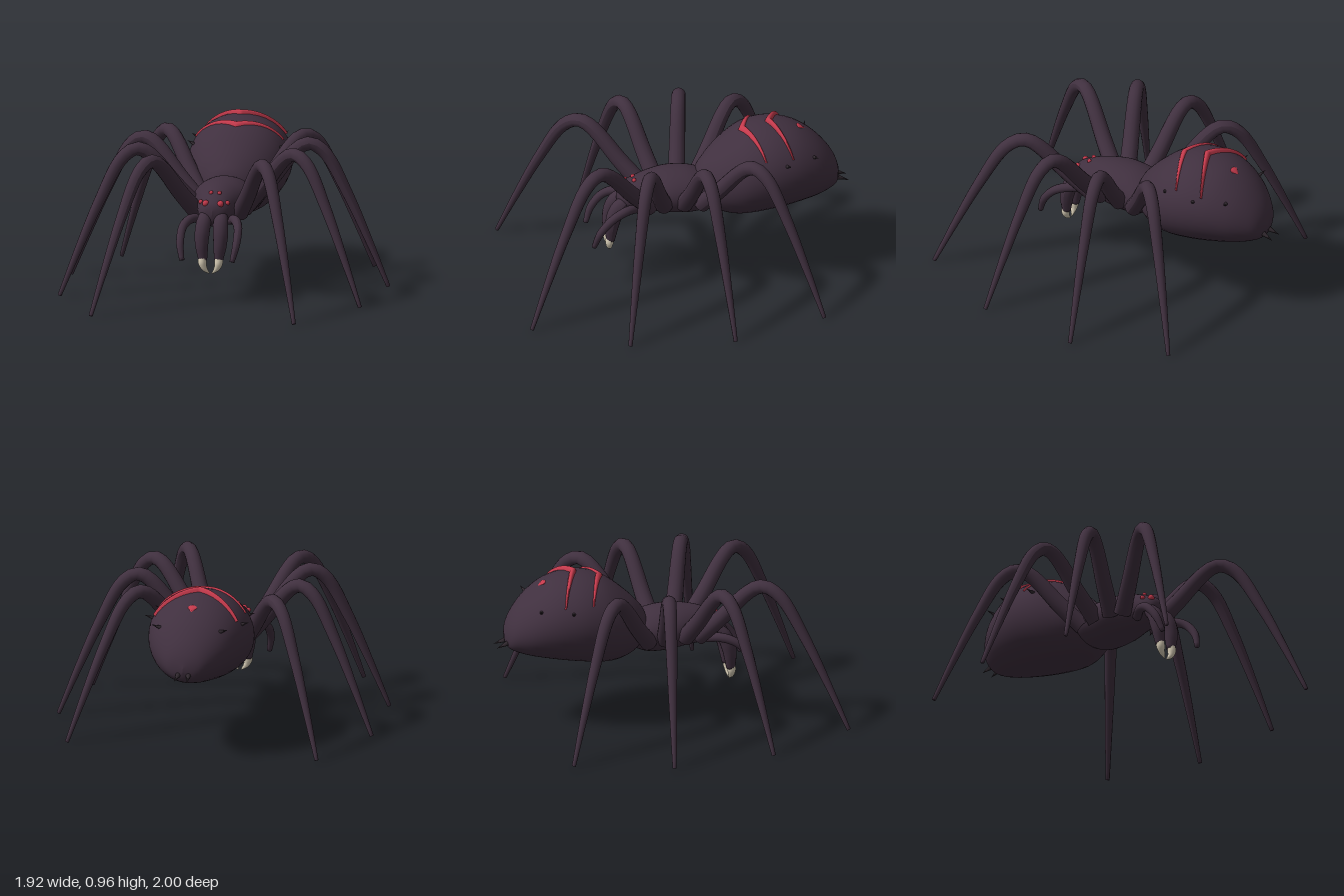
import * as THREE from 'three';

const mat = (name, color) => Object.assign(new THREE.MeshStandardMaterial({ color }), { name });
const V = (a) => new THREE.Vector3(...a);

// Builds an indexed grid of points, optionally closed around its columns
function grid(rows, cols, closed, point) {
  const pos = [], idx = [], n = closed ? cols : cols + 1;
  for (let i = 0; i <= rows; i++) for (let j = 0; j < n; j++) pos.push(...point(i / rows, j / cols));
  for (let i = 0; i < rows; i++) for (let j = 0; j < cols; j++) {
    const a = i * n + j, b = i * n + (j + 1) % n;
    idx.push(a, a + n, b, b, a + n, b + n);
  }
  const g = new THREE.BufferGeometry();
  g.setAttribute('position', new THREE.Float32BufferAttribute(pos, 3));
  g.setIndex(idx);
  g.computeVertexNormals();
  return g;
}

// Smooth body from stations [z, top, bottom, half width], listed front to back
function bodyShape(stations) {
  const zw = new THREE.SplineCurve(stations.map((s) => new THREE.Vector2(s[0], s[3])));
  const tb = new THREE.SplineCurve(stations.map((s) => new THREE.Vector2(s[1], s[2])));
  const section = (t) => {
    const a = zw.getPoint(t), b = tb.getPoint(t);
    return { z: a.x, w: Math.max(a.y, 0), cy: (b.x + b.y) / 2, h: (b.x - b.y) / 2 };
  };
  const at = (z) => {
    let lo = 0, hi = 1;
    for (let i = 0; i < 30; i++) {
      const m = (lo + hi) / 2;
      if (section(m).z > z) lo = m; else hi = m;
    }
    return section(lo);
  };
  const geometry = grid(48, 40, true, (u, v) => {
    const s = section(u), a = v * Math.PI * 2;
    return [s.w * Math.cos(a), s.cy + s.h * Math.sin(a), s.z];
  });
  return { geometry, at };
}

// Tube whose radius follows evenly spaced values, with a flat cap as its last ring
function taperedTube(points, radii, segments = 28, sides = 14) {
  const curve = new THREE.CatmullRomCurve3(points.map(V));
  const g = new THREE.TubeGeometry(curve, segments, 1, sides);
  const p = g.attributes.position, v = new THREE.Vector3();
  for (let i = 0; i <= segments; i++) {
    const t = Math.min(1, i / (segments - 1));
    const c = curve.getPointAt(i / segments), target = curve.getPointAt(t);
    const f = t * (radii.length - 1), k = Math.min(Math.floor(f), radii.length - 2);
    const r = i === segments ? 0 : THREE.MathUtils.lerp(radii[k], radii[k + 1], f - k);
    for (let j = 0; j <= sides; j++) {
      const n = i * (sides + 1) + j;
      v.fromBufferAttribute(p, n).sub(c).multiplyScalar(r).add(target);
      p.setXYZ(n, v.x, v.y, v.z);
    }
  }
  g.computeVertexNormals();
  return g;
}

export function createModel() {
  const root = new THREE.Group();
  root.name = 'spider';
  const shell = mat('dark plum shell', 0x40303f);
  const red = mat('crimson marking', 0xc43a4c);
  const ivory = mat('ivory fang', 0xd9cfb8);
  const dark = mat('dark bristle', 0x2f272d);
  const add = (name, geometry, material) => {
    const m = new THREE.Mesh(geometry, material);
    m.name = name;
    root.add(m);
    return m;
  };

  // Head and thorax
  const thorax = bodyShape([
    [0.385, 0.53, 0.51, 0], [0.37, 0.57, 0.46, 0.055], [0.33, 0.6, 0.43, 0.092],
    [0.26, 0.632, 0.42, 0.112], [0.18, 0.655, 0.415, 0.14], [0.08, 0.667, 0.405, 0.173],
    [-0.03, 0.662, 0.395, 0.173], [-0.12, 0.635, 0.41, 0.165], [-0.18, 0.6, 0.45, 0.12], [-0.21, 0.53, 0.52, 0],
  ]);
  add('thorax', thorax.geometry, shell);

  // Abdomen
  const abdomen = bodyShape([
    [-0.08, 0.58, 0.54, 0], [-0.1, 0.66, 0.465, 0.1], [-0.15, 0.725, 0.43, 0.16], [-0.21, 0.785, 0.395, 0.215],
    [-0.3, 0.86, 0.37, 0.265], [-0.39, 0.91, 0.37, 0.295], [-0.5, 0.932, 0.385, 0.305],
    [-0.6, 0.922, 0.402, 0.295], [-0.7, 0.888, 0.422, 0.267], [-0.8, 0.818, 0.445, 0.218],
    [-0.88, 0.73, 0.472, 0.152], [-0.925, 0.65, 0.5, 0.09], [-0.945, 0.575, 0.55, 0],
  ]);
  add('abdomen', abdomen.geometry, shell);

  // Raised patch on the abdomen's back; line(s, e) gives x and z for s and e from -1 to 1
  const patch = (name, lift, line) => add(name, grid(48, 8, false, (u, v) => {
    const s = u * 2 - 1, e = 1 - v * 2, k = Math.abs(s);
    const [x, z] = line(s, e, k);
    const b = abdomen.at(z), a = Math.asin(THREE.MathUtils.clamp(x / b.w, -1, 1));
    const up = -0.004 + (lift * (1 - 0.4 * k) + 0.004) * Math.sqrt(1 - e * e);
    return [(b.w + up) * Math.sin(a), b.cy + (b.h + up) * Math.cos(a), z];
  }), red);

  // Chevron stripes and rear spot
  for (const [zc, reach, sweep, lift] of [[-0.365, 0.26, 0.105, 0.013], [-0.525, 0.245, 0.11, 0.024]]) {
    patch('chevronStripe', lift, (s, e, k) => [reach * s, zc - sweep * k + e * (0.022 - 0.016 * k)]);
  }
  patch('rearSpot', 0.006, (s, e, k) =>
    [0.028 * s, -0.712 + e * (e > 0 ? 0.022 * Math.sqrt(1 - k * k) : 0.034 * (1 - k))]);

  // Conical spike standing at a base point and pointing along a direction
  const spike = (name, base, dir, radius, length) => {
    const g = new THREE.ConeGeometry(radius, length, 8).translate(0, length / 2, 0);
    const m = add(name, g, dark);
    m.position.copy(V(base));
    m.quaternion.setFromUnitVectors(new THREE.Vector3(0, 1, 0), V(dir).normalize());
  };

  // Leg arch: fraction of the way outward, height
  const arch = [[0, 0.5], [0.16, 0.645], [0.31, 0.8], [0.385, 0.855], [0.45, 0.867],
    [0.55, 0.81], [0.71, 0.565], [0.86, 0.285], [1, 0.005]];
  // Leg root x, z, foot x, z and height scale
  const legs = [[0.13, 0.2, 0.609, 0.99, 0.982], [0.14, 0.12, 0.9, 0.452, 1],
    [0.14, 0.0, 0.95, -0.168, 1], [0.14, -0.1, 0.758, -0.73, 0.982]];

  for (const s of [1, -1]) {
    const side = s > 0 ? 'left' : 'right';
    const mirror = (pts) => pts.map(([x, y, z]) => [x * s, y, z]);

    legs.forEach(([rx, rz, fx, fz, tall], i) => {
      const path = arch.map(([f, y]) => [rx + (fx - rx) * f, y * tall, rz + (fz - rz) * f]);
      add(`${side}Leg${i + 1}`, taperedTube(mirror(path), [0.052, 0.045, 0.036, 0.025, 0.012], 36), shell);
    });

    // Jaws, fangs and feelers
    add(`${side}Jaw`, taperedTube(mirror([[0.045, 0.51, 0.32], [0.052, 0.45, 0.385], [0.056, 0.36, 0.415],
      [0.047, 0.245, 0.425]]), [0.035, 0.045, 0.045, 0.038, 0.026], 20), shell);
    add(`${side}Fang`, taperedTube(mirror([[0.047, 0.265, 0.425], [0.049, 0.235, 0.43], [0.038, 0.2, 0.43],
      [0.008, 0.168, 0.425]]), [0.026, 0.025, 0.016, 0.003], 14), ivory);
    add(`${side}Feeler`, taperedTube(mirror([[0.08, 0.46, 0.27], [0.13, 0.475, 0.34], [0.165, 0.445, 0.43],
      [0.168, 0.36, 0.505], [0.15, 0.265, 0.54]]), [0.026, 0.028, 0.025, 0.023, 0.015], 22), shell);

    // Eyes
    for (const [x, y, z, r] of [[0.044, 0.572, 0.35, 0.02], [0.08, 0.573, 0.315, 0.014], [0.025, 0.622, 0.28, 0.013]]) {
      add(`${side}Eye`, new THREE.SphereGeometry(r, 14, 10), red).position.set(x * s, y, z);
    }

    // Side bristles and tail spines
    for (const z of [-0.39, -0.59, -0.765]) {
      const b = abdomen.at(z), k = (0.765 - b.cy) / b.h;
      spike(`${side}Bristle`, [s * (b.w * Math.sqrt(1 - k * k) - 0.012), 0.762, z], [s, 0.4, -0.35], 0.013, 0.062);
    }
    spike(`${side}TailSpine`, [s * 0.03, 0.535, -0.925], [s * 0.12, -0.35, -1], 0.018, 0.08);
  }
  return root;
}
